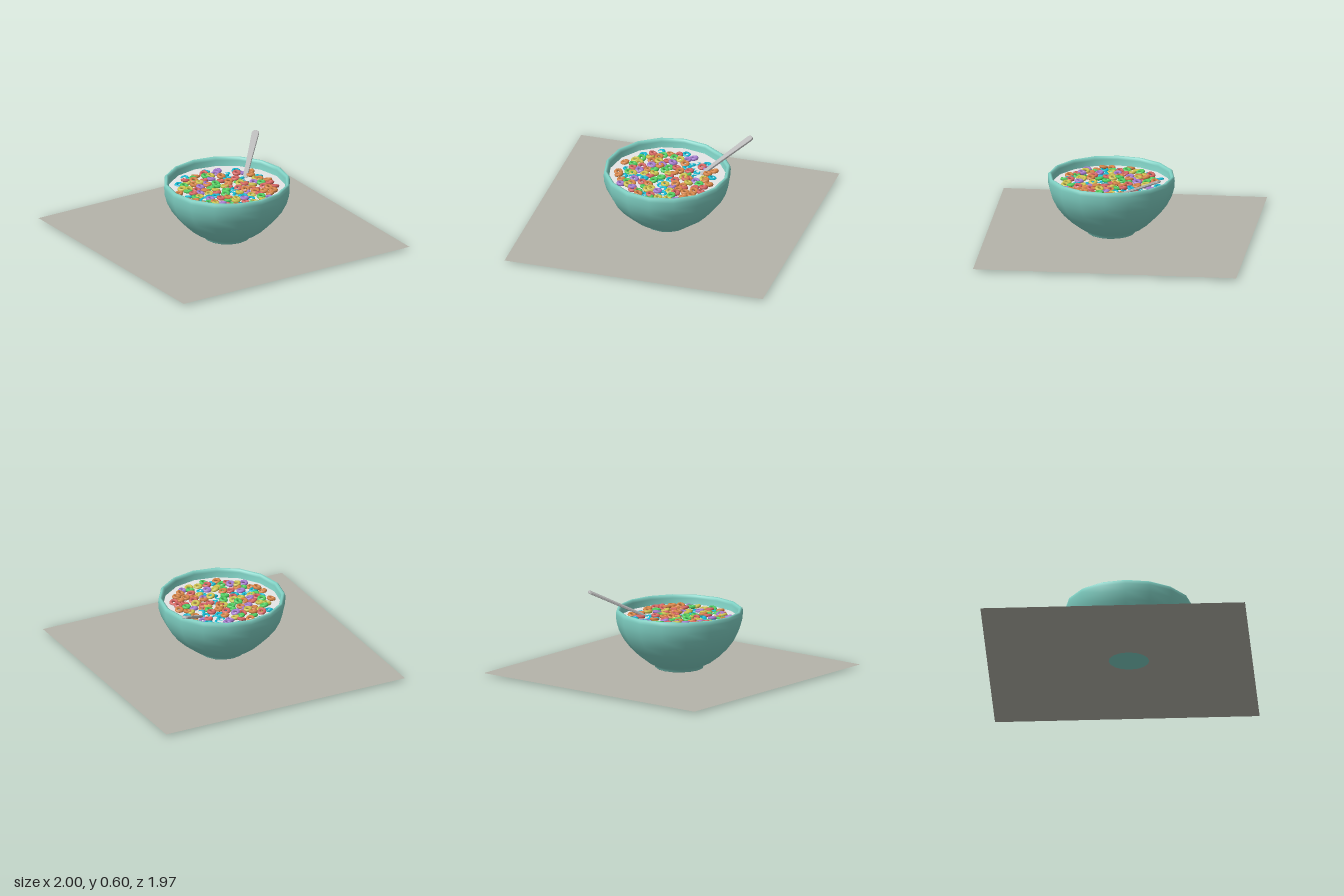
import * as THREE from 'three';

const mat = (name, color, side = THREE.FrontSide) => {
  const m = new THREE.MeshStandardMaterial({ color, side });
  m.name = name;
  return m;
};

// Small seeded generator for the scattered cereal
function seeded(seed) {
  return () => {
    seed = (seed * 16807) % 2147483647;
    return seed / 2147483647;
  };
}

export function createModel() {
  const model = new THREE.Group();
  const add = (name, geometry, material, parent = model) => {
    const mesh = new THREE.Mesh(geometry, material);
    mesh.name = name;
    parent.add(mesh);
    return mesh;
  };

  const cx = -0.017, cz = 0.067, milkY = 0.395;

  // Table surface
  const table = add('tableTop', new THREE.PlaneGeometry(2, 1.965),
    mat('stoneGrey', 0xb5b4aa, THREE.DoubleSide));
  table.rotation.x = -Math.PI / 2;
  table.position.y = 0.014;

  // Bowl: outer wall with foot, rounded rim, inner wall
  const profile = [
    [0, 0], [0.172, 0.016], [0.18, 0.022], [0.185, 0.04], [0.235, 0.063],
    [0.3, 0.112], [0.365, 0.175], [0.415, 0.24], [0.451, 0.31], [0.47, 0.375],
    [0.474, 0.43], [0.471, 0.455], [0.46, 0.464], [0.447, 0.459], [0.44, 0.44],
    [0.437, 0.37], [0.39, 0.25], [0.28, 0.13], [0, 0.07],
  ].map(([x, y]) => new THREE.Vector2(x, y));
  const bowl = add('bowl', new THREE.LatheGeometry(profile, 16), mat('tealGlaze', 0x80d2c5));
  bowl.position.set(cx, 0, cz);

  // Milk surface
  const milk = add('milk', new THREE.CircleGeometry(0.442, 16), mat('milkWhite', 0xe6e6e6));
  milk.rotation.x = -Math.PI / 2;
  milk.position.set(cx, milkY, cz);

  // Cereal loops spread in a spiral, each jittered, tilted and partly sunk
  const cereal = new THREE.Group();
  cereal.name = 'cereal';
  model.add(cereal);
  const colours = [
    mat('cherryRed', 0xd96663), mat('lemonYellow', 0xd0c550), mat('limeGreen', 0x52d162),
    mat('grapePurple', 0xa87dd2), mat('orange', 0xd98648), mat('berryCyan', 0x10bcd4),
  ];
  const loop = new THREE.TorusGeometry(0.0225, 0.012, 7, 14);
  const rnd = seeded(4217);
  const jitter = (a) => (rnd() * 2 - 1) * a;
  const count = 120;
  for (let i = 0; i < count; i++) {
    const r = 0.365 * Math.sqrt((i + 0.5) / count), a = i * 2.39996;
    const kind = Math.floor(rnd() * 6);
    const ring = add('cerealLoop', loop, colours[kind], cereal);
    ring.position.set(
      -0.03 + r * Math.cos(a) + jitter(0.018),
      milkY + (kind === 5 ? -0.004 : 0.007) + jitter(0.007),
      0.075 + r * Math.sin(a) + jitter(0.018));
    ring.rotation.set(-Math.PI / 2 + jitter(0.28), jitter(0.28), 0);
  }

  // Spoon leaning on the rim; local x runs up the handle, z is its upper face
  const spoon = new THREE.Group();
  spoon.name = 'spoon';
  model.add(spoon);
  const steel = mat('spoonSteel', 0xb9b9b9);
  const along = new THREE.Vector3(0.63, 0.42, -0.65).normalize();
  const across = new THREE.Vector3(0, 1, 0).cross(along).normalize();
  const up = along.clone().cross(across);
  spoon.quaternion.setFromRotationMatrix(new THREE.Matrix4().makeBasis(along, across, up));
  spoon.position.set(0.512, 0.59, -0.35);

  const outline = new THREE.Shape();
  outline.moveTo(-0.62, -0.013);
  outline.lineTo(-0.3, -0.016);
  outline.lineTo(-0.025, -0.024);
  outline.quadraticCurveTo(0, -0.022, 0, 0);
  outline.quadraticCurveTo(0, 0.022, -0.025, 0.024);
  outline.lineTo(-0.3, 0.016);
  outline.lineTo(-0.62, 0.013);
  const handle = add('spoonHandle', new THREE.ExtrudeGeometry(outline, {
    depth: 0.012, bevelEnabled: true, bevelSize: 0.003, bevelThickness: 0.003,
    bevelSegments: 1, curveSegments: 5,
  }), steel, spoon);
  handle.position.z = -0.006;

  const scoop = add('spoonScoop', new THREE.SphereGeometry(1, 16, 10), steel, spoon);
  scoop.scale.set(0.09, 0.06, 0.015);
  scoop.position.x = -0.67;

  return model;
}
